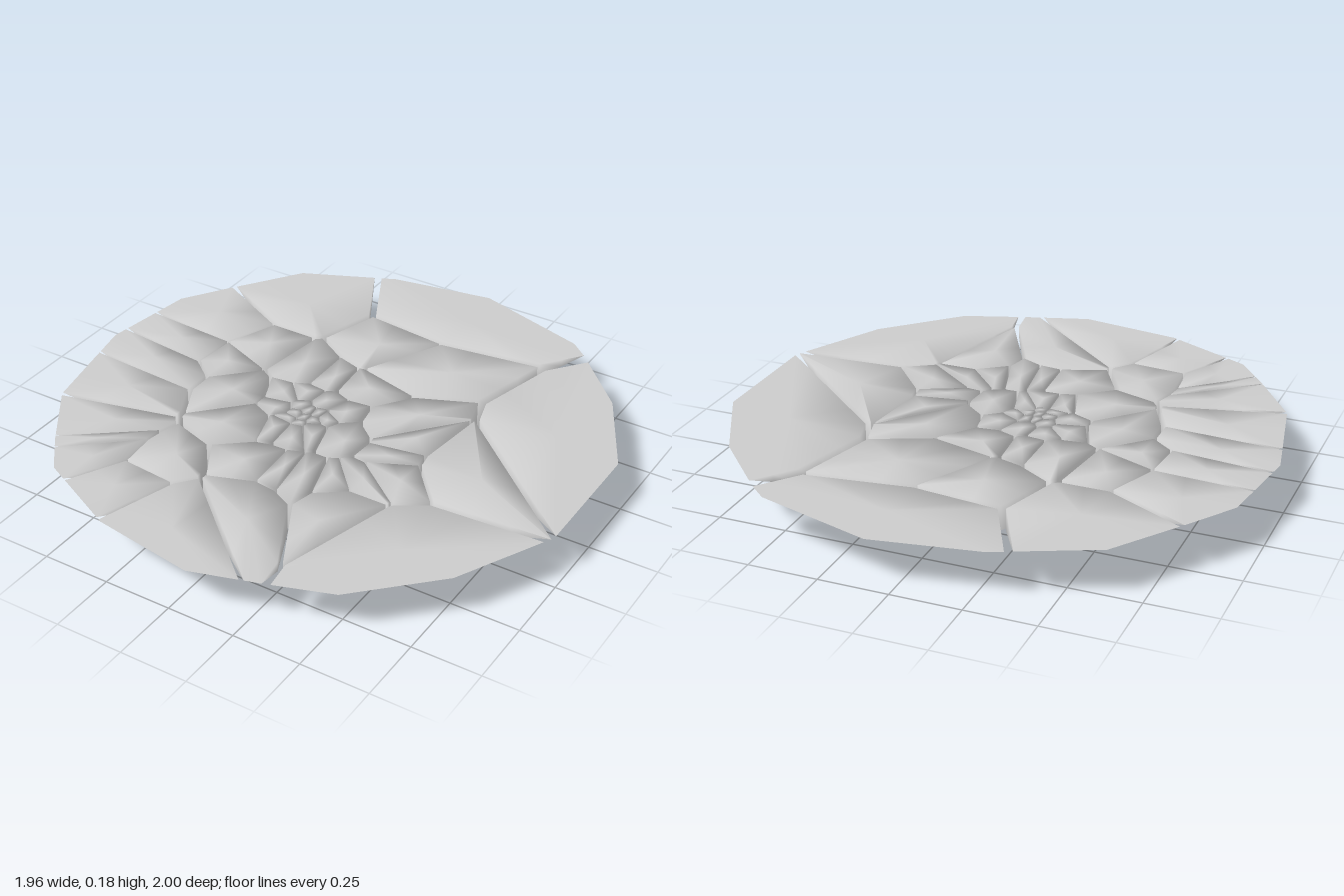
import * as THREE from 'three';

const HEIGHT = 0.18;

// Outline of the rim, in hundredths (x, z)
const RIM = [
  [-30, -93.5], [8, -100], [51, -87], [58, -81], [80, -58], [97.5, -25], [97.5, 23],
  [80, 58], [54, 84], [31, 92], [7, 99.5], [-31, 93.5], [-63, 78], [-73.5, 64.5],
  [-89.5, 41], [-95, 14], [-98, -1], [-93, -36], [-83, -51], [-64, -78],
];

// Seed points of the fracture pattern, in hundredths (x, z), ring by ring
const SEEDS = {
  outerShard: [
    [-2, -81.5], [-50, -57.5], [-65, -28], [-66, -13], [-68, 5.5], [-69, 21], [-62, 49.5],
    [-58.7, 53.8], [-54.5, 58.6], [-37.5, 67.6], [-15, 74.5], [0.5, 57], [28, 42.7],
    [53.4, 49.6], [51, 6.6], [74.6, -20.4],
  ],
  middleShard: [
    [-6.3, -43.8], [4, -38.5], [-50, -22], [-54, -12], [-36.5, 5.6], [-22, -18.3],
    [-14.3, -18.3], [-1, -19.4], [19, -4.5], [29, 4], [30, 9.8], [35, 20.4], [28, 29.4],
    [22.2, 34.7], [9.5, 38.5], [2.6, 39.5], [-5.8, 40], [-36.5, 57], [-23.8, 17.8],
  ],
  centreShard: [
    [8.5, 8.2], [-15.9, -5], [-6.9, -4], [1, -1.3], [-20, -1.3], [-18.5, 6], [-12.7, 1.9],
    [-9, 3.4], [-5.3, 2.9], [-1.6, 3.4], [-11.6, 6.6], [-8, 7.2], [-4.8, 7.2],
    [-12.2, 10.9], [-7.4, 11.4], [-3.2, 11.4], [-12.7, 14.5], [-6.9, 14],
  ],
};

const toVec = ([x, z]) => new THREE.Vector2(x / 100, z / 100);

// Half-planes (n.p <= d) bounding the rim
const rimPlanes = RIM.map((p, i) => {
  const a = toVec(p), b = toVec(RIM[(i + 1) % RIM.length]);
  const n = new THREE.Vector2(b.y - a.y, a.x - b.x).normalize();
  return { n, d: n.dot(a) };
});

// Underside: a shallow faceted dome that meets the flat top at the rim
function undersideY(p) {
  const t = Math.max(0, ...rimPlanes.map(({ n, d }) => n.dot(p) / d));
  return HEIGHT * Math.pow(Math.min(t, 1), 1.8);
}

// Cut a convex polygon by a half-plane
function clip(poly, { n, d }) {
  const out = [];
  poly.forEach((a, i) => {
    const b = poly[(i + 1) % poly.length];
    const da = n.dot(a) - d, db = n.dot(b) - d;
    if (da <= 0) out.push(a);
    if (da * db < 0) out.push(a.clone().lerp(b, da / (da - db)));
  });
  return out;
}

// Outline of one shard: nearest-seed region, pulled in to leave a crack
function shardOutline(seed, seeds) {
  let poly = [[-200, -200], [200, -200], [200, 200], [-200, 200]].map(toVec);
  for (const plane of rimPlanes) poly = clip(poly, plane);
  for (const other of seeds) {
    if (other === seed) continue;
    const n = other.clone().sub(seed);
    const dist = n.length();
    n.divideScalar(dist);
    poly = clip(poly, { n, d: n.dot(seed) + dist / 2 - (0.002 + 0.022 * dist) });
  }
  return poly;
}

// Solid shard: flat top and upright walls share normals, underside is separate
function shardGeometry(poly) {
  const ring = [];
  poly.forEach((a, i) => {
    const b = poly[(i + 1) % poly.length];
    const steps = Math.max(1, Math.ceil(a.distanceTo(b) / 0.15));
    for (let s = 0; s < steps; s++) ring.push(a.clone().lerp(b, s / steps));
  });
  const count = ring.length;
  const centre = ring.reduce((c, p) => c.add(p), new THREE.Vector2()).divideScalar(count);
  const position = [], index = [];

  const addPoint = (p, y) => position.push(p.x, y, p.y) / 3 - 1;
  const addRing = (scale, height) => {
    const start = position.length / 3;
    ring.forEach((p) => {
      const q = centre.clone().lerp(p, scale);
      addPoint(q, height(q));
    });
    return start;
  };

  const top = addRing(1, () => HEIGHT);
  const wallFoot = addRing(1, undersideY);
  const topCentre = addPoint(centre, HEIGHT);
  const under = [1, 0.67, 0.33].map((s) => addRing(s, undersideY));
  const underCentre = addPoint(centre, undersideY(centre));

  for (let i = 0; i < count; i++) {
    const j = (i + 1) % count;
    index.push(topCentre, top + j, top + i);
    index.push(top + i, top + j, wallFoot + i, top + j, wallFoot + j, wallFoot + i);
    for (let r = 0; r < 2; r++) {
      const a = under[r], b = under[r + 1];
      index.push(b + i, a + i, a + j, b + i, a + j, b + j);
    }
    index.push(underCentre, under[2] + i, under[2] + j);
  }

  const geometry = new THREE.BufferGeometry();
  geometry.setAttribute('position', new THREE.Float32BufferAttribute(position, 3));
  geometry.setIndex(index);
  geometry.computeVertexNormals();
  return geometry;
}

export function createModel() {
  const model = new THREE.Group();
  model.name = 'fracturedDish';
  const material = new THREE.MeshStandardMaterial({ color: 0xcccccc });
  const rings = Object.entries(SEEDS).map(([name, list]) => ({ name, seeds: list.map(toVec) }));
  const allSeeds = rings.flatMap((r) => r.seeds);

  for (const { name, seeds } of rings) {
    const group = new THREE.Group();
    group.name = name + 's';
    seeds.forEach((seed, i) => {
      const poly = shardOutline(seed, allSeeds);
      if (poly.length < 3) return;
      const mesh = new THREE.Mesh(shardGeometry(poly), material);
      mesh.name = name + (i + 1);
      group.add(mesh);
    });
    model.add(group);
  }
  return model;
}
